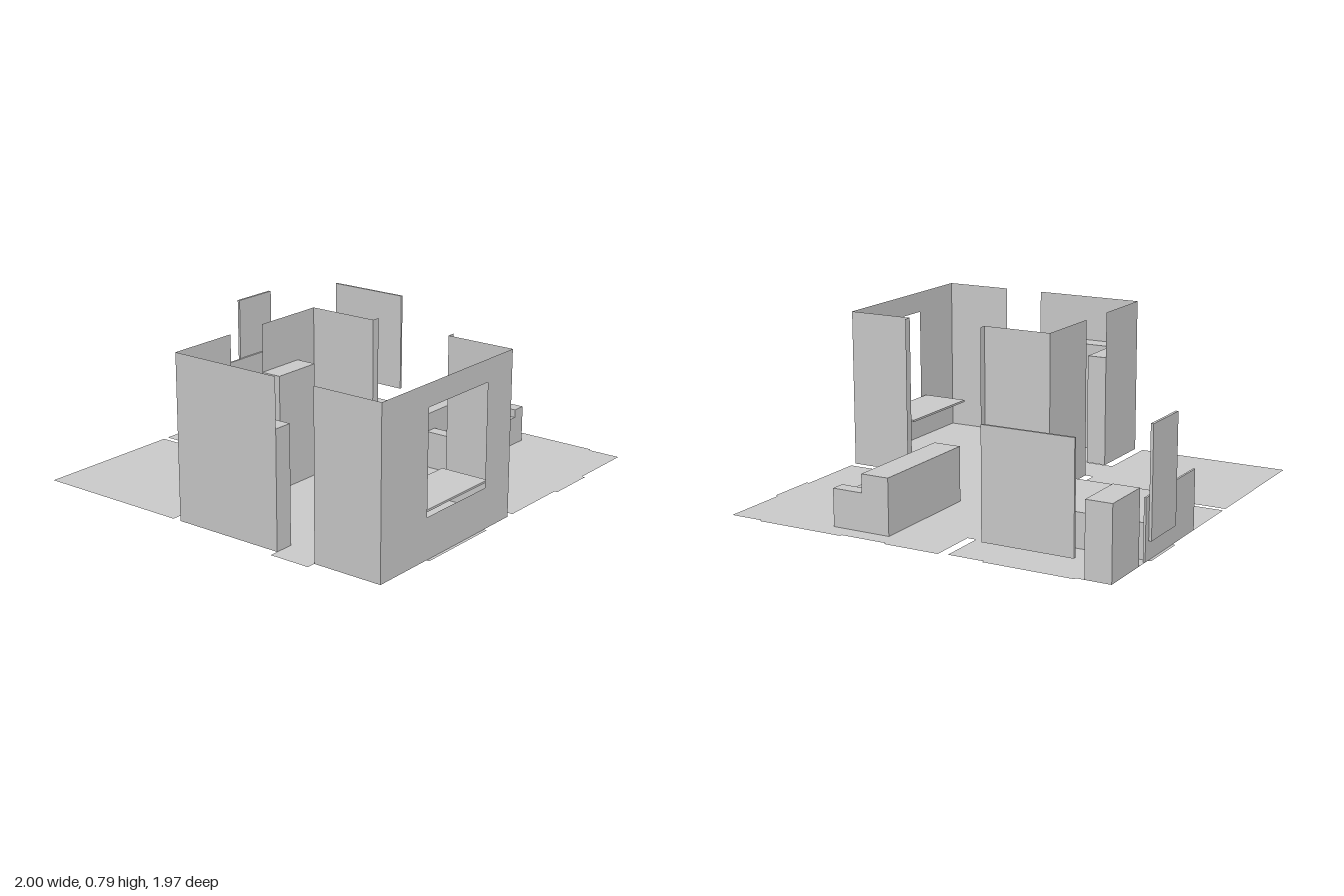
import * as THREE from 'three';

const grey = new THREE.MeshStandardMaterial({ color: 0xcccccc, flatShading: true, side: THREE.DoubleSide });
const WALL_H = 0.785;

const toPoints = (list) => list.map(([a, b]) => new THREE.Vector2(a, b));

export function createModel() {
  const model = new THREE.Group();
  model.name = 'apartment';

  const add = (name, geometry, parent = model) => {
    const mesh = new THREE.Mesh(geometry, grey);
    mesh.name = name;
    parent.add(mesh);
    return mesh;
  };

  // Box given by its limits; furniture on the floor is hollow with no underside
  const box = (name, [x0, x1], [y0, y1], [z0, z1], parent, open = true) => {
    const g = new THREE.BoxGeometry(x1 - x0, y1 - y0, z1 - z0);
    g.translate((x0 + x1) / 2, (y0 + y1) / 2, (z0 + z1) / 2);
    if (open) {
      const index = Array.from(g.index.array);
      index.splice(18, 6);
      g.clearGroups();
      g.setIndex(index);
    }
    return add(name, g, parent);
  };

  // Flat floor from an outline in [x, z], with optional cut-outs
  const floor = (name, outline, holes = []) => {
    const flip = (pts) => toPoints(pts.map(([x, z]) => [x, -z]));
    const shape = new THREE.Shape(flip(outline));
    holes.forEach((h) => shape.holes.push(new THREE.Path(flip(h))));
    add(name, new THREE.ShapeGeometry(shape).rotateX(-Math.PI / 2));
  };
  const rect = (a0, a1, b0, b1) => [[a0, b0], [a1, b0], [a1, b1], [a0, b1]];

  // Thin upright wall between two floor points
  const walls = new THREE.Group();
  walls.name = 'walls';
  model.add(walls);
  const wall = (name, x0, z0, x1, z1) => {
    const g = new THREE.PlaneGeometry(Math.hypot(x1 - x0, z1 - z0), WALL_H);
    g.rotateY(-Math.atan2(z1 - z0, x1 - x0));
    g.translate((x0 + x1) / 2, WALL_H / 2, (z0 + z1) / 2);
    add(name, g, walls);
  };

  // Floors
  floor('backRightFloor', [[-0.957, -0.97], [-0.205, -0.97], [-0.205, -0.395], [-0.08, -0.395],
    [-0.08, -0.19], [-0.957, -0.19]]);
  floor('bedroomFloor', [[-0.178, -0.97], [0.39, -0.97], [0.39, -0.985], [0.64, -0.985], [0.64, -0.97],
    [0.73, -0.97], [0.73, -0.845], [0.985, -0.845], [0.985, -0.805], [0.998, -0.805], [0.998, -0.366],
    [0.985, -0.366], [0.985, -0.19], [0.03, -0.19], [0.03, -0.485], [-0.178, -0.485]],
  [rect(0.19, 0.64, -0.955, -0.366)]);
  floor('livingFloor', [
    // back edge with doorways and cabinet recess
    [-0.6, -0.19], [-0.385, -0.19], [-0.385, -0.045], [-0.13, -0.045], [-0.13, -0.147], [-0.01, -0.147],
    [-0.01, 0.207], [0.03, 0.207], [0.03, -0.147], [0.545, -0.147], [0.545, -0.19], [0.75, -0.19],
    [0.75, -0.147],
    // left edge
    [0.998, -0.147], [0.998, 0.131], [0.985, 0.131], [0.985, 0.361], [0.998, 0.361],
    [0.998, 0.805], [0.985, 0.805], [0.985, 0.97],
    // front edge
    [0.64, 0.97], [0.64, 0.985], [0.39, 0.985], [0.39, 0.97], [0.03, 0.97], [0.03, 0.63], [-0.01, 0.63],
    [-0.01, 0.97], [-0.2, 0.97], [-0.2, 0.985], [-0.635, 0.985], [-0.635, 0.97], [-0.957, 0.97],
    // right edge with entrance and cabinet recesses
    [-0.957, 0.623], [-1, 0.623], [-1, 0.418], [-0.865, 0.418], [-0.865, 0.247], [-0.957, 0.247],
    [-0.957, 0.21], [-0.855, 0.21], [-0.855, -0.045], [-0.6, -0.045],
  ], [rect(0.29, 0.9, 0.168, 0.462)]);

  // Kitchen walls, broken by full-height doorways
  const front = new THREE.Shape(toPoints(rect(-0.957, -0.01, 0, WALL_H)));
  front.holes.push(new THREE.Path(toPoints(rect(-0.635, -0.2, 0.195, 0.68))));
  add('windowWall', new THREE.ShapeGeometry(front).translate(0, 0, 0.97), walls);
  wall('rightWallFront', -0.957, 0.97, -0.957, 0.623);
  wall('rightWallBack', -0.957, 0.418, -0.957, -0.147);
  wall('backWallRight', -0.957, -0.147, -0.6, -0.147);
  wall('backWallLeft', -0.385, -0.147, -0.01, -0.147);
  wall('leftWallBack', -0.01, -0.147, -0.01, 0.207);
  wall('leftWallFront', -0.01, 0.63, -0.01, 0.97);
  for (const z of [0.207, 0.63]) wall('doorJamb', -0.01, z, 0.03, z);

  // Kitchen cabinets and table top
  const tall = [0, 0.555];
  box('sideCabinet', [-0.957, -0.855], tall, [-0.045, 0.21]);
  box('cornerCabinet', [-0.957, -0.855], tall, [-0.147, -0.045]);
  box('backCabinet', [-0.855, -0.603], tall, [-0.147, -0.045]);
  box('entranceCabinet', [-0.957, -0.865], tall, [0.247, 0.418]);
  box('doorCabinet', [-0.385, -0.13], tall, [-0.147, -0.045]);
  box('tableTop', [-0.67, -0.17], [0.212, 0.222], [0.72, 0.96], model, false);

  // Sofa
  const sofa = new THREE.Group();
  sofa.name = 'sofa';
  model.add(sofa);
  box('sofaBack', [0.29, 0.9], [0, 0.268], [0.168, 0.308], sofa);
  box('sofaSeat', [0.354, 0.83], [0, 0.14], [0.308, 0.462], sofa);
  for (const x of [[0.29, 0.354], [0.83, 0.9]]) box('sofaArm', x, [0, 0.18], [0.308, 0.462], sofa);

  // Bedroom
  box('bed', [0.19, 0.64], [0, 0.165], [-0.96, -0.366]);
  box('headboard', [0.16, 0.668], [0, 0.285], [-0.97, -0.96], model, false);
  box('nightCabinet', [0.73, 0.985], [0, 0.345], [-0.97, -0.845]);
  box('backWindowPanel', [0.39, 0.64], [0.088, 0.6], [-0.985, -0.972], model, false);
  box('sideWindowPanel', [0.986, 0.998], [0.088, 0.6], [-0.803, -0.364], model, false);

  return model;
}
